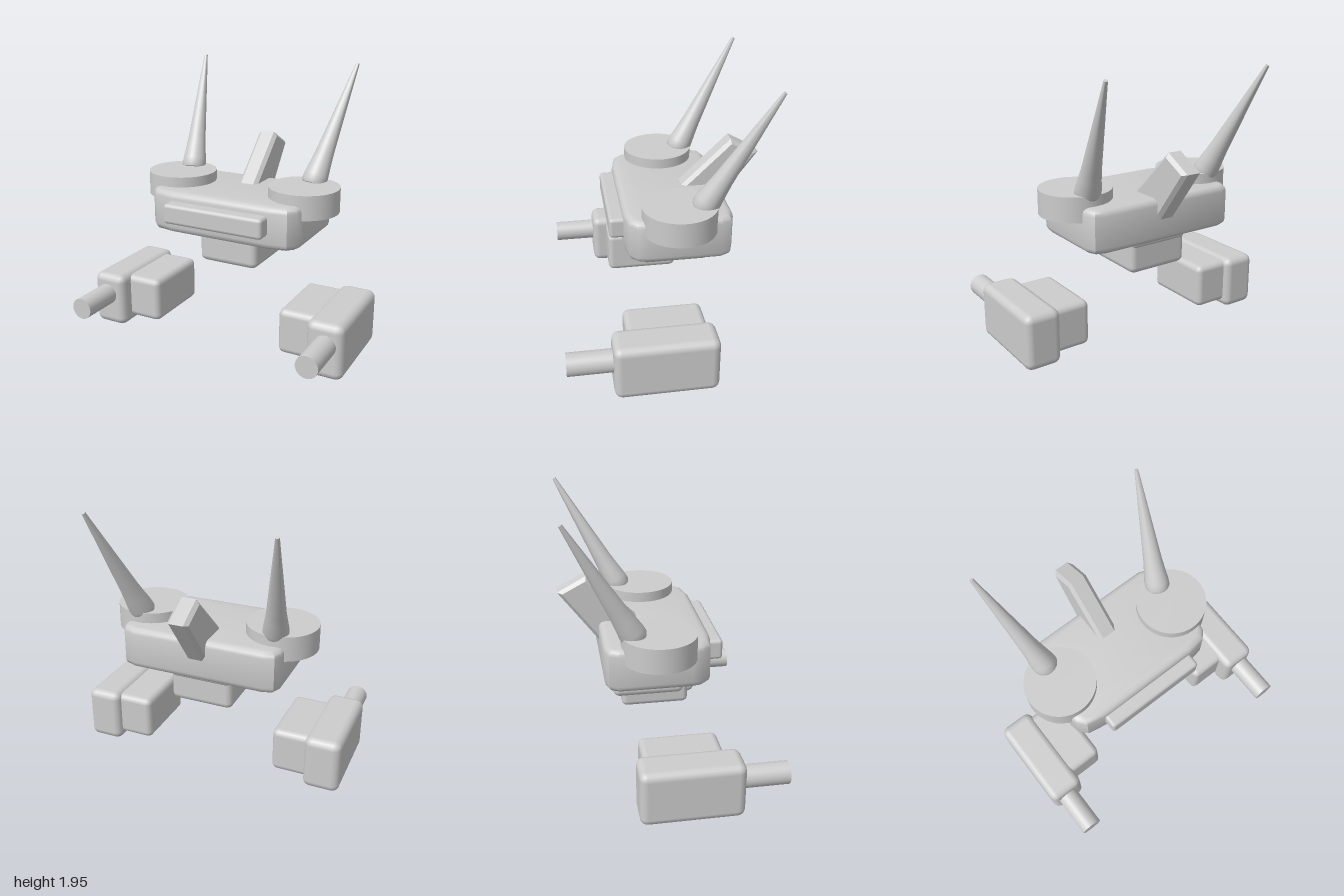
import * as THREE from 'three';
import { toCreasedNormals } from 'three/addons/utils/BufferGeometryUtils.js';
import { RoundedBoxGeometry } from 'three/addons/geometries/RoundedBoxGeometry.js';

const grey = new THREE.MeshStandardMaterial({ color: 0xcccccc });
grey.name = 'light grey';

function add(parent, name, geometry, x = 0, y = 0, z = 0) {
  const mesh = new THREE.Mesh(geometry, grey);
  mesh.name = name;
  mesh.position.set(x, y, z);
  parent.add(mesh);
  return mesh;
}

// Soft-edged box given by its limits on each axis
function softBox(parent, name, [x0, x1], [y0, y1], [z0, z1], radius) {
  const geometry = new RoundedBoxGeometry(x1 - x0, y1 - y0, z1 - z0, 2, radius);
  return add(parent, name, geometry, (x0 + x1) / 2, (y0 + y1) / 2, (z0 + z1) / 2);
}

// Bevelled prism; the outline is the full outer size before the bevel
function prism(points, depth, bevel, segments) {
  const shape = new THREE.Shape(points.map(([x, y]) => new THREE.Vector2(x, y)));
  const geometry = new THREE.ExtrudeGeometry(shape, {
    depth: depth - 2 * bevel, bevelEnabled: true, bevelThickness: bevel,
    bevelSize: bevel, bevelOffset: -bevel, bevelSegments: segments,
  });
  geometry.translate(0, 0, bevel);
  return toCreasedNormals(geometry, 0.6);
}

export function createModel() {
  const model = new THREE.Group();
  model.name = 'robot';

  // Head: plan outline (x, -z) with a gently bowed front
  const half = [[0.38, -0.28], [0.52, -0.255], [0.57, -0.2], [0.585, -0.13], [0.585, 0.36], [0.555, 0.425], [0.48, 0.45]];
  const plan = [...half, ...half.map(([x, y]) => [-x, y]).reverse()];
  const head = prism(plan, 0.305, 0.045, 3);
  head.rotateX(-Math.PI / 2);
  add(model, 'head', head, 0, 0.777, 0);

  // Visor, neck collar and jaw
  softBox(model, 'visor', [-0.385, 0.385], [0.875, 1.02], [0.2, 0.375], 0.025);
  softBox(model, 'collar', [-0.222, 0.222], [0.735, 0.9], [-0.385, 0.155], 0.03);
  softBox(model, 'jaw', [-0.23, 0.23], [0.545, 0.85], [-0.37, 0.137], 0.045);

  // Swept-back crest: side profile (-z, y) extruded across x
  const profile = [[0.165, 1.07], [0.26, 0.93], [0.445, 0.93], [0.725, 1.307], [0.525, 1.415]];
  const crest = prism(profile, 0.15, 0.025, 1);
  crest.rotateY(Math.PI / 2);
  add(model, 'crest', crest, -0.075, 0, 0);

  // Antenna profile with a bulbous foot
  const antennaProfile = [[0, 0], [0.08, 0], [0.09, 0.02], [0.088, 0.07], [0.075, 0.17], [0.066, 0.25], [0.013, 0.945], [0, 0.947]]
    .map(([r, y]) => new THREE.Vector2(r, y));
  const antennaGeometry = toCreasedNormals(new THREE.LatheGeometry(antennaProfile, 32), 0.7);
  const up = new THREE.Vector3(0, 1, 0);

  for (const s of [1, -1]) {
    const side = s > 0 ? 'left' : 'right';
    const span = (a, b) => (s > 0 ? [a, b] : [-b, -a]);

    // Round antenna mount
    add(model, side + 'AntennaMount', new THREE.CylinderGeometry(0.253, 0.253, 0.175, 64), s * 0.495, 1.068, -0.085);

    // Antenna leaning back and outward
    const antenna = add(model, side + 'Antenna', antennaGeometry, s * 0.497, 1.125, -0.24);
    antenna.quaternion.setFromUnitVectors(up, new THREE.Vector3(s * 0.14, 0.82, -0.45).normalize());

    // Floating hand: outer block, inner block and forward barrel
    const hand = new THREE.Group();
    hand.name = side + 'Hand';
    model.add(hand);
    softBox(hand, 'outerBlock', span(0.737, 1), [0, 0.4], [-0.288, 0.42], 0.055);
    softBox(hand, 'innerBlock', span(0.49, 0.8), [0.05, 0.38], [-0.24, 0.315], 0.045);
    const barrel = new THREE.CylinderGeometry(0.078, 0.078, 0.42, 40);
    barrel.rotateX(Math.PI / 2);
    add(hand, 'barrel', barrel, s * 0.878, 0.248, 0.515);
  }
  return model;
}
